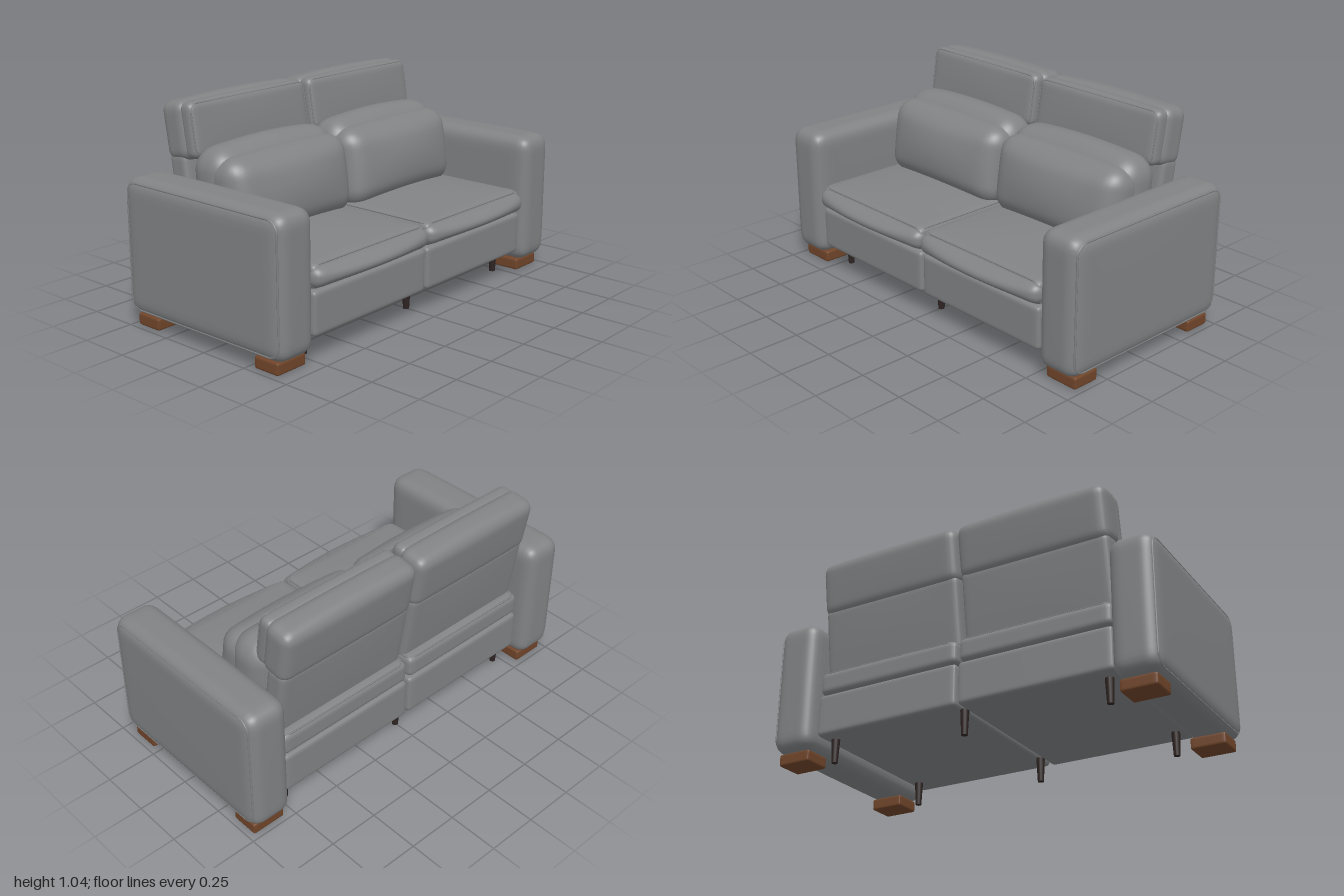
import * as THREE from 'three';
import { mergeVertices } from 'three/addons/utils/BufferGeometryUtils.js';

const fabric = new THREE.MeshStandardMaterial({ color: 0x808284 });
fabric.name = 'grey fabric';
const wood = new THREE.MeshStandardMaterial({ color: 0x70452a });
wood.name = 'brown wood';
const dark = new THREE.MeshStandardMaterial({ color: 0x2e2422 });
dark.name = 'dark leg';

// Rounded box with an optional swelling [x, y, z] towards the middle of its faces
function softGeometry(w, h, d, r, bulge = [0, 0, 0], n = 24) {
  let g = new THREE.BoxGeometry(2, 2, 2, n, n, n);
  g.deleteAttribute('uv');
  g.deleteAttribute('normal');
  g = mergeVertices(g, 1e-4);
  const half = new THREE.Vector3(w / 2, h / 2, d / 2);
  const inner = half.clone().subScalar(r);
  const outer = inner.clone().negate();
  const pos = g.attributes.position;
  const p = new THREE.Vector3(), c = new THREE.Vector3();
  const warp = (t) => Math.sin((t * Math.PI) / 2);
  for (let i = 0; i < pos.count; i++) {
    p.fromBufferAttribute(pos, i);
    p.set(warp(p.x), warp(p.y), warp(p.z)).multiply(half);
    c.copy(p).clamp(outer, inner);
    p.sub(c).setLength(r).add(c);
    const u = p.x / half.x, v = p.y / half.y, q = p.z / half.z;
    const fu = 1 - u * u, fv = 1 - v * v, fq = 1 - q * q;
    p.x += bulge[0] * u * fv * fq;
    p.y += bulge[1] * v * fu * fq;
    p.z += bulge[2] * q * fu * fv;
    pos.setXYZ(i, p.x, p.y, p.z);
  }
  g.computeVertexNormals();
  return g;
}

function add(parent, name, geometry, material, x, y, z) {
  const m = new THREE.Mesh(geometry, material);
  m.name = name;
  m.position.set(x, y, z);
  parent.add(m);
  return m;
}

// Thin welt running round a rounded rectangle in the XY plane
function pipingGeometry(w, h, r, thick) {
  const a = w / 2, b = h / 2;
  const s = new THREE.Shape();
  s.moveTo(-a + r, -b);
  s.lineTo(a - r, -b);
  s.absarc(a - r, -b + r, r, -Math.PI / 2, 0);
  s.absarc(a - r, b - r, r, 0, Math.PI / 2);
  s.absarc(-a + r, b - r, r, Math.PI / 2, Math.PI);
  s.absarc(-a + r, -b + r, r, Math.PI, Math.PI * 1.5);
  const pts = s.getSpacedPoints(90).slice(0, -1).map((q) => new THREE.Vector3(q.x, q.y, 0));
  return new THREE.TubeGeometry(new THREE.CatmullRomCurve3(pts, true), 160, thick, 6, true);
}

function createArm(side) {
  const arm = new THREE.Group();
  arm.name = side > 0 ? 'leftArm' : 'rightArm';
  add(arm, 'armBody', softGeometry(0.222, 0.652, 0.985, 0.065, [0.002, 0.004, 0.002]), fabric,
    side * 0.887, 0.384, -0.022);
  const welt = add(arm, 'armPiping', pipingGeometry(0.935, 0.602, 0.055, 0.005), fabric,
    side * 0.985, 0.384, -0.022);
  welt.rotation.y = Math.PI / 2;
  for (const z of [0.354, -0.404]) {
    add(arm, 'armFoot', softGeometry(0.172, 0.058, 0.14, 0.01, [0, 0, 0], 12), wood,
      side * 0.885, 0.029, z);
  }
  return arm;
}

function createSeatUnit(side) {
  const unit = new THREE.Group();
  unit.name = side > 0 ? 'leftSeat' : 'rightSeat';
  const x = side * 0.388;

  // Base and seat cushion with a rounded front roll
  add(unit, 'base', softGeometry(0.766, 0.21, 0.91, 0.022), fabric, x, 0.221, -0.005);
  add(unit, 'seatCushion', softGeometry(0.764, 0.115, 0.905, 0.03, [0, 0.03, 0]), fabric, x, 0.386, -0.005);
  add(unit, 'seatFrontRoll', softGeometry(0.774, 0.1, 0.13, 0.045, [0, 0, 0.042]), fabric, x, 0.383, 0.406);
  const seam = add(unit, 'seatPiping', pipingGeometry(0.74, 0.88, 0.03, 0.005), fabric, x, 0.437, -0.005);
  seam.rotation.x = Math.PI / 2;

  // Loose pillow: a rear body and a plump front pad
  const body = add(unit, 'pillowBack', softGeometry(0.785, 0.4, 0.23, 0.1, [0, 0.025, 0.02]), fabric,
    x, 0.628, -0.197);
  body.rotation.x = -0.08;
  const pad = add(unit, 'pillowFront', softGeometry(0.775, 0.385, 0.2, 0.09, [0, 0.008, 0.05]), fabric,
    x, 0.61, -0.1);
  pad.rotation.x = -0.14;

  // Thin leaning backrest
  const back = add(unit, 'backrest', softGeometry(0.755, 0.4, 0.11, 0.03, [0, 0, 0.006]), fabric,
    x, 0.59, -0.377);
  back.rotation.x = -0.15;

  // Headrest: shell, front pad and welt, all leaning back together
  const head = new THREE.Group();
  head.name = 'headrest';
  head.position.set(x, 0.893, -0.383);
  head.rotation.x = -0.16;
  add(head, 'headrestShell', softGeometry(0.77, 0.275, 0.155, 0.05, [0, 0.012, 0.004]), fabric, 0, 0, -0.028);
  add(head, 'headrestPad', softGeometry(0.75, 0.26, 0.085, 0.035, [0, 0.006, 0.008]), fabric, 0, -0.002, 0.055);
  add(head, 'headrestPiping', pipingGeometry(0.73, 0.24, 0.04, 0.004), fabric, 0, -0.002, 0.088);
  unit.add(head);
  return unit;
}

export function createModel() {
  const sofa = new THREE.Group();
  sofa.name = 'sofa';
  for (const side of [1, -1]) {
    sofa.add(createArm(side));
    sofa.add(createSeatUnit(side));
  }

  // Slim tapered legs under the seats
  const legGeometry = new THREE.CylinderGeometry(0.021, 0.015, 0.12, 16);
  for (const x of [-0.715, 0, 0.715]) {
    for (const z of [0.33, -0.38]) add(sofa, 'seatLeg', legGeometry, dark, x, 0.06, z);
  }
  return sofa;
}
